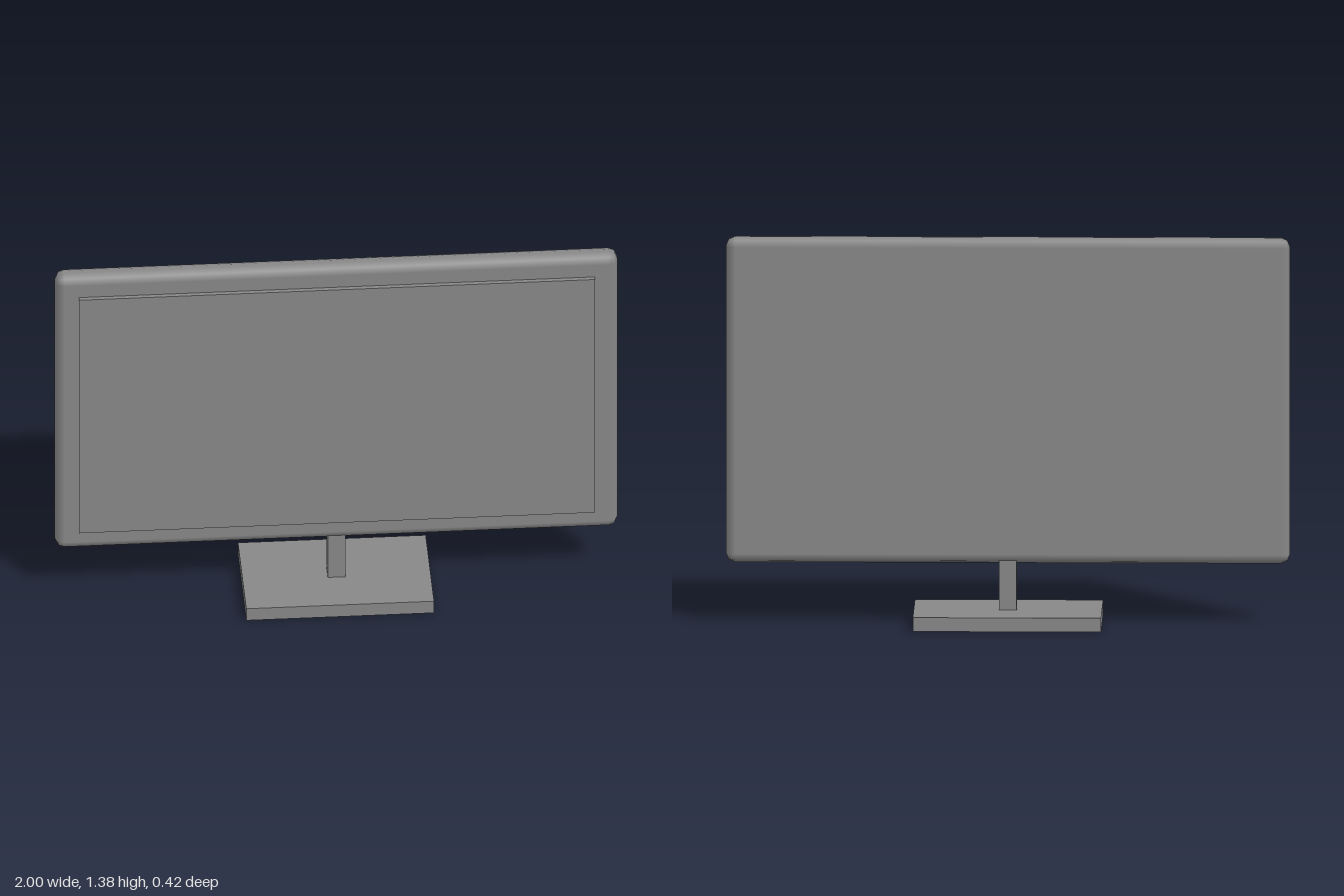
import * as THREE from 'three';
import { RoundedBoxGeometry } from 'three/addons/geometries/RoundedBoxGeometry.js';

export function createModel() {
  const model = new THREE.Group();
  model.name = 'monitor';
  const grey = new THREE.MeshStandardMaterial({ color: 0x888888 });
  grey.name = 'grey';

  const add = (name, geometry, y, z = 0) => {
    const mesh = new THREE.Mesh(geometry, grey);
    mesh.name = name;
    mesh.position.set(0, y, z);
    model.add(mesh);
  };

  // Housing with coarse two-facet rounded edges
  add('housing', new RoundedBoxGeometry(2, 1.167, 0.083, 1, 0.034), 0.8);
  // Slightly raised display panel
  add('screen', new THREE.BoxGeometry(1.833, 1, 0.03), 0.8, 0.043);
  // Stand: post runs up into the housing
  add('post', new THREE.BoxGeometry(0.063, 0.25, 0.065), 0.165);
  add('base', new THREE.BoxGeometry(0.667, 0.05, 0.416), 0.025);

  return model;
}
